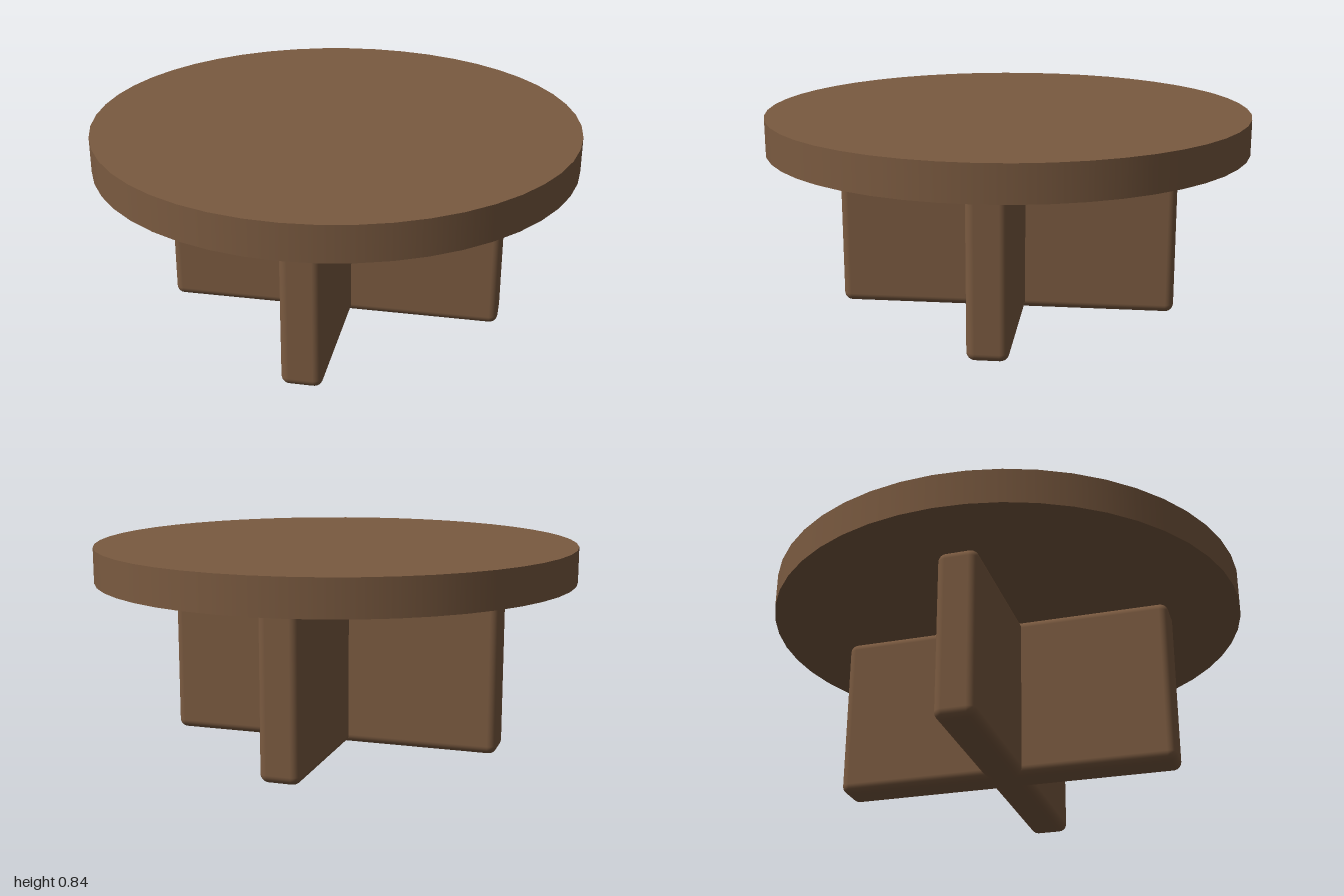
import * as THREE from 'three';
import { RoundedBoxGeometry } from 'three/addons/geometries/RoundedBoxGeometry.js';

export function createModel() {
  const group = new THREE.Group();
  group.name = 'roundTable';
  const wood = new THREE.MeshStandardMaterial({ color: 0x7a5a40 });

  const baseHeight = 0.7;
  const topThickness = 0.145;

  // Round table top
  const top = new THREE.Mesh(new THREE.CylinderGeometry(1, 1, topThickness, 48), wood);
  top.name = 'tableTop';
  top.position.y = baseHeight + topThickness / 2;
  group.add(top);

  // Two soft-edged panels crossing at the centre
  const panelGeometry = new RoundedBoxGeometry(1.42, baseHeight, 0.165, 4, 0.035);
  ['basePanelAcross', 'basePanelFrontToBack'].forEach((name, i) => {
    const panel = new THREE.Mesh(panelGeometry, wood);
    panel.name = name;
    panel.position.y = baseHeight / 2;
    panel.rotation.y = i * Math.PI / 2;
    group.add(panel);
  });

  return group;
}
